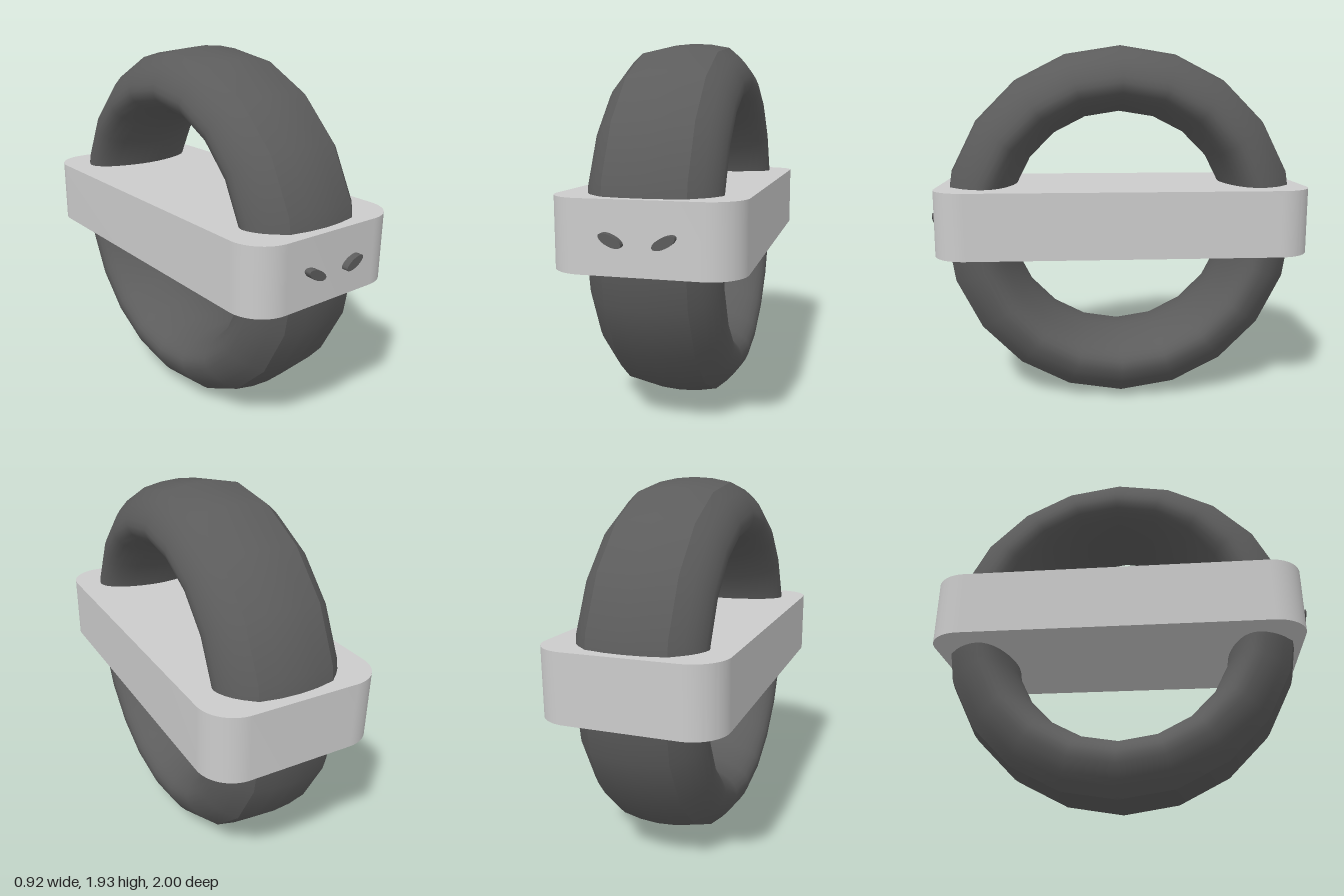
import * as THREE from 'three';
import { toCreasedNormals } from 'three/addons/utils/BufferGeometryUtils.js';

const WHEEL_SEGMENTS = 20;

// Ring swept around the x axis from [radius, offset] points
function ring(points, material, name) {
  const geometry = new THREE.LatheGeometry(points, WHEEL_SEGMENTS);
  geometry.rotateZ(Math.PI / 2);
  const mesh = new THREE.Mesh(geometry, material);
  mesh.name = name;
  return mesh;
}

function roundedRect(x0, y0, x1, y1, r) {
  const s = new THREE.Shape();
  s.absarc(x1 - r, y0 + r, r, -Math.PI / 2, 0, false);
  s.absarc(x1 - r, y1 - r, r, 0, Math.PI / 2, false);
  s.absarc(x0 + r, y1 - r, r, Math.PI / 2, Math.PI, false);
  s.absarc(x0 + r, y0 + r, r, Math.PI, Math.PI * 1.5, false);
  s.closePath();
  return s;
}

export function createModel() {
  const model = new THREE.Group();
  const grey = new THREE.MeshStandardMaterial({ color: 0xcccccc });
  const dark = new THREE.MeshStandardMaterial({ color: 0x5c5c5c });
  const v = (r, h) => new THREE.Vector2(r, h);

  // Wheel: crowned tread, then rounded flanks and inner side, with a crease between
  const wheel = new THREE.Group();
  wheel.name = 'wheel';
  const tread = [-0.2, -0.1, 0, 0.1, 0.2].map((h) => v(0.967 - 0.65 * h * h, h));
  const half = [v(0.941, 0.2), v(0.86, 0.287), v(0.76, 0.331), v(0.685, 0.285), v(0.635, 0.16)];
  const mirrored = half.map((p) => v(p.x, -p.y)).reverse();
  const flank = new THREE.SplineCurve([...half, v(0.614, 0), ...mirrored]).getPoints(30);
  wheel.add(ring(tread, dark, 'tread'), ring(flank, dark, 'flanks'));
  wheel.position.set(0, 0.967, -0.015);
  model.add(wheel);

  // Flat body slab with rounded corners around the wheel
  const slab = new THREE.ExtrudeGeometry(roundedRect(-0.46, -1, 0.46, 0.965, 0.18), {
    depth: 0.345, bevelEnabled: false, curveSegments: 12,
  });
  slab.rotateX(Math.PI / 2);
  const body = new THREE.Mesh(toCreasedNormals(slab, 0.6), grey);
  body.name = 'body';
  body.position.y = 1.185;
  model.add(body);

  // Two slanted oval eyes on the front
  for (const side of [-1, 1]) {
    const geometry = new THREE.CylinderGeometry(1, 1, 0.07, 24);
    geometry.rotateX(Math.PI / 2).scale(0.057, 0.024, 1);
    const eye = new THREE.Mesh(geometry, dark);
    eye.name = side > 0 ? 'leftEye' : 'rightEye';
    eye.position.set(side * 0.122, 1.006, 0.965);
    eye.rotation.z = side * 0.46;
    model.add(eye);
  }
  return model;
}
